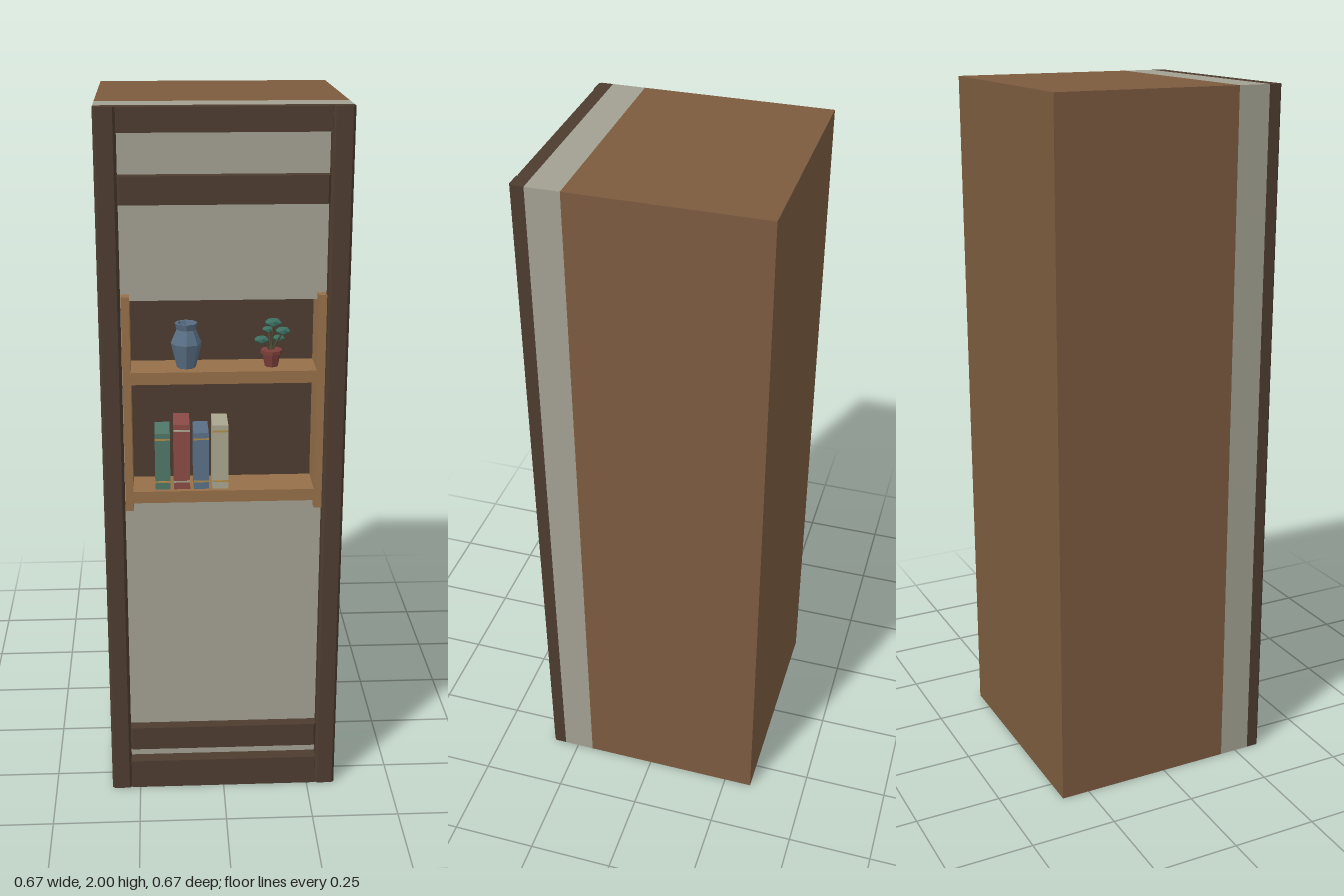
import * as THREE from 'three';

const W = 0.333;        // half width and half depth
const WALL_BACK = 0.2;  // plane between the body and the plaster
const WALL_FRONT = 0.293;

const mat = (color) => new THREE.MeshStandardMaterial({ color, flatShading: true });
const M = {
  body: mat(0x7c5b3f), plaster: mat(0xa3a192), timber: mat(0x4d3c30), shelf: mat(0x96704a),
  green: mat(0x4f7868), red: mat(0x8a4b46), blue: mat(0x5a7086), cream: mat(0xaba68f),
  gold: mat(0xb08d4a), pot: mat(0x7d3f3a), leaf: mat(0x3c6e60), stem: mat(0x4a4a34),
};

function add(parent, name, geometry, material, x = 0, y = 0, z = 0) {
  const mesh = new THREE.Mesh(geometry, material);
  mesh.name = name;
  mesh.position.set(x, y, z);
  parent.add(mesh);
  return mesh;
}

// Box given by its limits on each axis
function block(parent, name, material, [x0, x1], [y0, y1], [z0, z1]) {
  return add(parent, name, new THREE.BoxGeometry(x1 - x0, y1 - y0, z1 - z0), material,
    (x0 + x1) / 2, (y0 + y1) / 2, (z0 + z1) / 2);
}

// Timber whose two upright front edges are chamfered by c
function timber(parent, name, x0, x1, y0, y1, z1, c) {
  const s = new THREE.Shape();
  s.moveTo(x0, -WALL_FRONT);
  s.lineTo(x0, -z1 + c);
  s.lineTo(x0 + c, -z1);
  s.lineTo(x1 - c, -z1);
  s.lineTo(x1, -z1 + c);
  s.lineTo(x1, -WALL_FRONT);
  s.closePath();
  const g = new THREE.ExtrudeGeometry(s, { depth: y1 - y0, bevelEnabled: false });
  g.rotateX(-Math.PI / 2);
  return add(parent, name, g, M.timber, 0, y0, 0);
}

function makeBook(name, x0, x1, top, cover, band) {
  const book = new THREE.Group();
  book.name = name;
  const base = 0.955, front = 0.305;
  block(book, 'cover', cover, [x0, x1], [base, top], [0.206, front]);
  for (const y of [base + 0.02, top - 0.02]) {
    block(book, 'spineBand', band, [x0, x1], [y, y + 0.005], [front - 0.004, front + 0.001]);
  }
  return book;
}

function makePlant() {
  const plant = new THREE.Group();
  plant.name = 'pottedPlant';
  add(plant, 'pot', new THREE.CylinderGeometry(0.025, 0.018, 0.036, 8), M.pot, 0, 0.018, 0);
  add(plant, 'potRim', new THREE.CylinderGeometry(0.03, 0.03, 0.01, 8), M.pot, 0, 0.041, 0);
  const leaves = [
    [-0.028, 0.076, 0.006, 0.022], [0.02, 0.075, -0.012, 0.018],
    [0.004, 0.122, 0, 0.025], [0.03, 0.1, 0.006, 0.022], [-0.008, 0.098, -0.018, 0.018],
  ];
  for (const [x, y, z, r] of leaves) {
    // Stem from the soil to the leaf
    const path = new THREE.LineCurve3(new THREE.Vector3(0, 0.04, 0), new THREE.Vector3(x, y, z));
    add(plant, 'stem', new THREE.TubeGeometry(path, 1, 0.0025, 5), M.stem);
    const leaf = add(plant, 'leaf', new THREE.IcosahedronGeometry(r, 0), M.leaf, x, y, z);
    leaf.scale.y = 0.5;
  }
  return plant;
}

export function createModel() {
  const model = new THREE.Group();
  model.name = 'wallSection';

  // Solid core of the wall
  block(model, 'wallBody', M.body, [-W, W], [0, 2], [-W, WALL_BACK]);

  // Plaster layer with an opening for the niche
  const plaster = new THREE.Shape();
  plaster.moveTo(-W, 0);
  plaster.lineTo(W, 0);
  plaster.lineTo(W, 2);
  plaster.lineTo(-W, 2);
  plaster.closePath();
  const hole = new THREE.Path();
  hole.moveTo(-0.27, 0.915);
  hole.lineTo(-0.27, 1.492);
  hole.lineTo(0.27, 1.492);
  hole.lineTo(0.27, 0.915);
  hole.closePath();
  plaster.holes.push(hole);
  add(model, 'plaster', new THREE.ExtrudeGeometry(plaster, { depth: WALL_FRONT - WALL_BACK, bevelEnabled: false }),
    M.plaster, 0, 0, WALL_BACK);
  block(model, 'nichePanel', M.timber, [-0.27, 0.27], [0.915, 1.492], [WALL_BACK, 0.205]);

  // Timber frame
  const frame = new THREE.Group();
  frame.name = 'timberFrame';
  model.add(frame);
  timber(frame, 'rightPost', -W, -0.275, 0, 2, W, 0.007);
  timber(frame, 'leftPost', 0.275, W, 0, 2, W, 0.007);
  timber(frame, 'bottomRail', -0.275, 0.275, 0, 0.09, 0.331, 0.001);
  timber(frame, 'topRail', -0.275, 0.275, 1.936, 2, 0.331, 0.001);
  timber(frame, 'lowerRail', -0.275, 0.275, 0.128, 0.2, 0.325, 0.006);
  timber(frame, 'upperRail', -0.275, 0.275, 1.752, 1.826, 0.325, 0.006);

  // Shelf unit in the niche
  const shelves = new THREE.Group();
  shelves.name = 'shelfUnit';
  model.add(shelves);
  for (const side of [-1, 1]) {
    add(shelves, 'sideBoard', new THREE.BoxGeometry(0.022, 0.61, 0.118), M.shelf, side * 0.262, 1.205, 0.264);
  }
  for (const top of [0.955, 1.3]) {
    block(shelves, 'shelf', M.shelf, [-0.252, 0.252], [top - 0.034, top], [0.205, 0.32]);
  }

  // Row of books
  const books = new THREE.Group();
  books.name = 'books';
  model.add(books);
  books.add(
    makeBook('greenBook', -0.19, -0.148, 1.12, M.green, M.gold),
    makeBook('redBook', -0.138, -0.093, 1.145, M.red, M.cream),
    makeBook('blueBook', -0.083, -0.041, 1.12, M.blue, M.gold),
    makeBook('creamBook', -0.031, 0.013, 1.142, M.cream, M.gold),
  );

  // Faceted vase, open at the top
  const profile = [[0, 0], [0.026, 0], [0.042, 0.068], [0.026, 0.106], [0.031, 0.124], [0.024, 0.124], [0.018, 0.106], [0, 0.1]]
    .map(([r, y]) => new THREE.Vector2(r, y));
  add(model, 'vase', new THREE.LatheGeometry(profile, 8), M.blue, -0.1, 1.3, 0.267);

  const plant = makePlant();
  plant.position.set(0.132, 1.3, 0.267);
  model.add(plant);

  return model;
}
